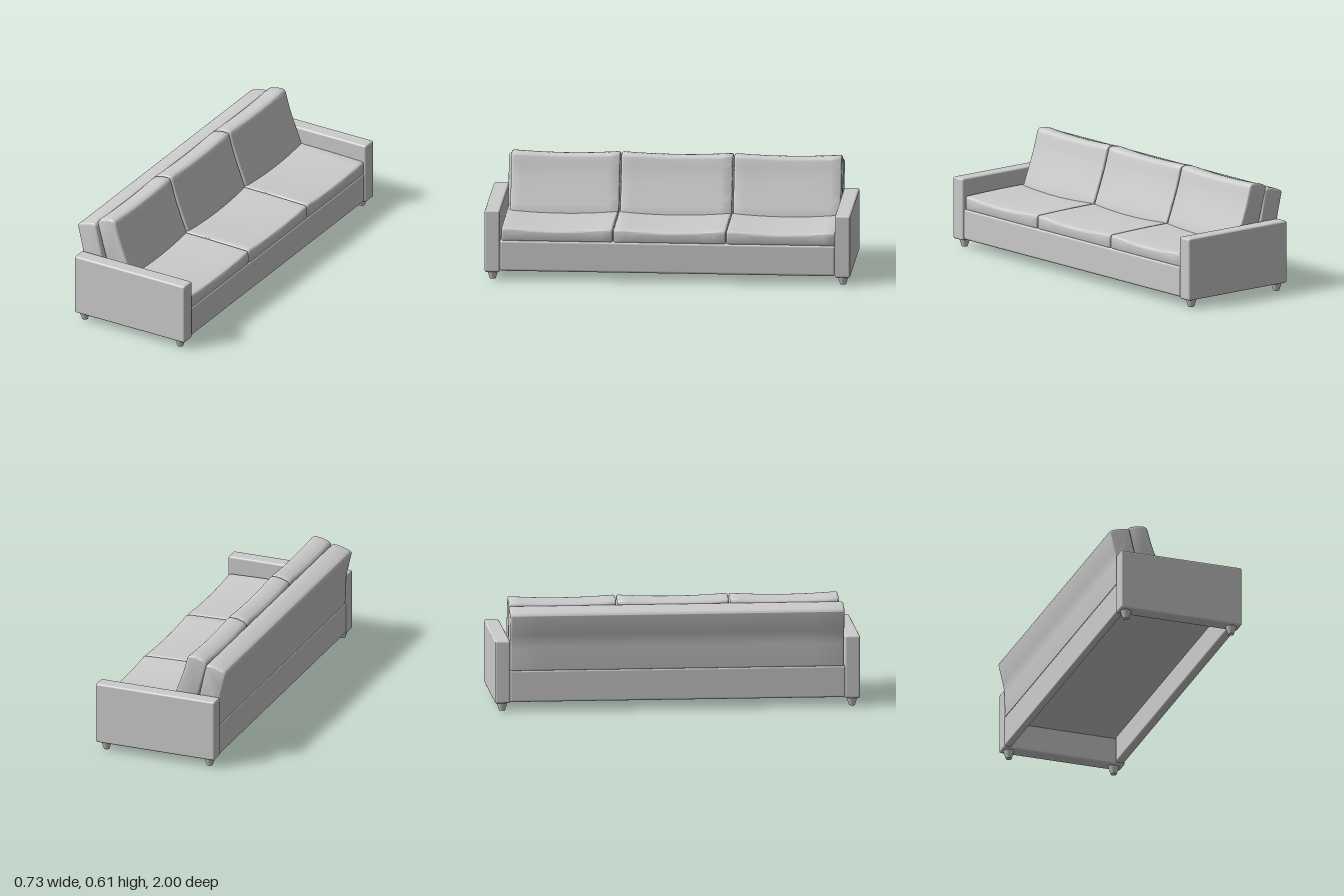
import * as THREE from 'three';
import { toCreasedNormals } from 'three/addons/utils/BufferGeometryUtils.js';
import { RoundedBoxGeometry } from 'three/addons/geometries/RoundedBoxGeometry.js';

const material = new THREE.MeshStandardMaterial({ color: 0xcccccc });

function addMesh(group, name, geometry, x = 0, y = 0, z = 0) {
  const mesh = new THREE.Mesh(geometry, material);
  mesh.name = name;
  mesh.position.set(x, y, z);
  group.add(mesh);
  return mesh;
}

// Rounded box given by its limits on each axis
function addBox(group, name, [x0, x1], [y0, y1], [z0, z1], radius) {
  const geometry = new RoundedBoxGeometry(x1 - x0, y1 - y0, z1 - z0, 4, radius);
  return addMesh(group, name, geometry, (x0 + x1) / 2, (y0 + y1) / 2, (z0 + z1) / 2);
}

// Closed outline from [x, y, cornerRadius] points
function roundedShape(points) {
  const shape = new THREE.Shape();
  const n = points.length;
  points.forEach(([x, y, r], i) => {
    const corner = new THREE.Vector2(x, y);
    const toward = ([px, py]) => {
      const d = new THREE.Vector2(px - x, py - y);
      return corner.clone().addScaledVector(d, Math.min(r / d.length(), 0.49));
    };
    const a = toward(points[(i + n - 1) % n]);
    const b = toward(points[(i + 1) % n]);
    if (i === 0) shape.moveTo(a.x, a.y);
    else shape.lineTo(a.x, a.y);
    shape.quadraticCurveTo(x, y, b.x, b.y);
  });
  shape.closePath();
  return shape;
}

// Upholstered block: profile swept along z, with its upper part sagging mid-span
function cushion(profile, z0, z1, bevel, sag = 0, sagFrom = 0, sagFull = 1) {
  const length = z1 - z0;
  const geometry = new THREE.ExtrudeGeometry(roundedShape(profile), {
    depth: length - 2 * bevel, steps: 12, curveSegments: 5,
    bevelSize: bevel, bevelThickness: bevel, bevelOffset: -bevel, bevelSegments: 4,
  });
  geometry.translate(0, 0, bevel - length / 2);
  const p = geometry.attributes.position;
  for (let i = 0; i < p.count; i++) {
    const t = (2 * p.getZ(i)) / length;
    const w = THREE.MathUtils.smoothstep(p.getY(i), sagFrom, sagFull);
    p.setY(i, p.getY(i) - sag * w * (1 - t * t));
  }
  geometry.translate(0, 0, (z0 + z1) / 2);
  return toCreasedNormals(geometry, 0.7);
}

export function createModel() {
  const sofa = new THREE.Group();
  sofa.name = 'sofa';

  // Arms with tapered feet under both ends
  for (const side of [-1, 1]) {
    const name = side > 0 ? 'left' : 'right';
    addBox(sofa, name + 'Arm', [-0.334, 0.366], [0.044, 0.39], [side * 0.958 - 0.042, side * 0.958 + 0.042], 0.011);
    for (const x of [-0.291, 0.316]) {
      addMesh(sofa, name + (x > 0 ? 'FrontFoot' : 'BackFoot'),
        new THREE.CylinderGeometry(0.031, 0.016, 0.046, 20), x, 0.023, side * 0.958);
    }
  }

  // Base: front and back rails, hollow below a thin platform under the seats
  addBox(sofa, 'frontRail', [0.31, 0.361], [0.05, 0.222], [-0.918, 0.918], 0.014);
  addBox(sofa, 'backRail', [-0.332, -0.29], [0.05, 0.224], [-0.918, 0.918], 0.01);
  addBox(sofa, 'seatPlatform', [-0.3, 0.33], [0.196, 0.22], [-0.921, 0.921], 0.004);

  // Backrest: upright where it meets the base, leaning back above the arms
  const backrest = [
    [-0.33, 0.222, 0.008], [-0.175, 0.222, 0.008], [-0.212, 0.39, 0.05],
    [-0.252, 0.568, 0.018], [-0.272, 0.569, 0.008], [-0.31, 0.562, 0.02],
    [-0.357, 0.546, 0.01], [-0.369, 0.533, 0.008], [-0.334, 0.385, 0.04],
  ];
  addMesh(sofa, 'backrest', cushion(backrest, -0.918, 0.912, 0.012));

  // Three seat cushions and three back cushions
  const seat = [
    [-0.2, 0.219, 0.008], [0.357, 0.219, 0.008], [0.357, 0.296, 0.018],
    [0.15, 0.302, 0.1], [-0.2, 0.304, 0.02],
  ];
  const back = [
    [-0.175, 0.275, 0.01], [-0.029, 0.275, 0.01], [-0.074, 0.39, 0.06], [-0.116, 0.505, 0.06],
    [-0.144, 0.61, 0.024], [-0.2, 0.606, 0.03], [-0.242, 0.592, 0.012],
    [-0.257, 0.576, 0.01], [-0.207, 0.39, 0.05],
  ];
  const seatSpans = [[-0.917, -0.322], [-0.319, 0.296], [0.3, 0.908]];
  const backSpans = [[-0.917, -0.329], [-0.322, 0.288], [0.295, 0.89]];
  ['right', 'middle', 'left'].forEach((name, i) => {
    addMesh(sofa, name + 'SeatCushion', cushion(seat, ...seatSpans[i], 0.012, 0.014, 0.22, 0.295));
    addMesh(sofa, name + 'BackCushion', cushion(back, ...backSpans[i], 0.012, 0.011, 0.4, 0.6));
  });

  return sofa;
}
